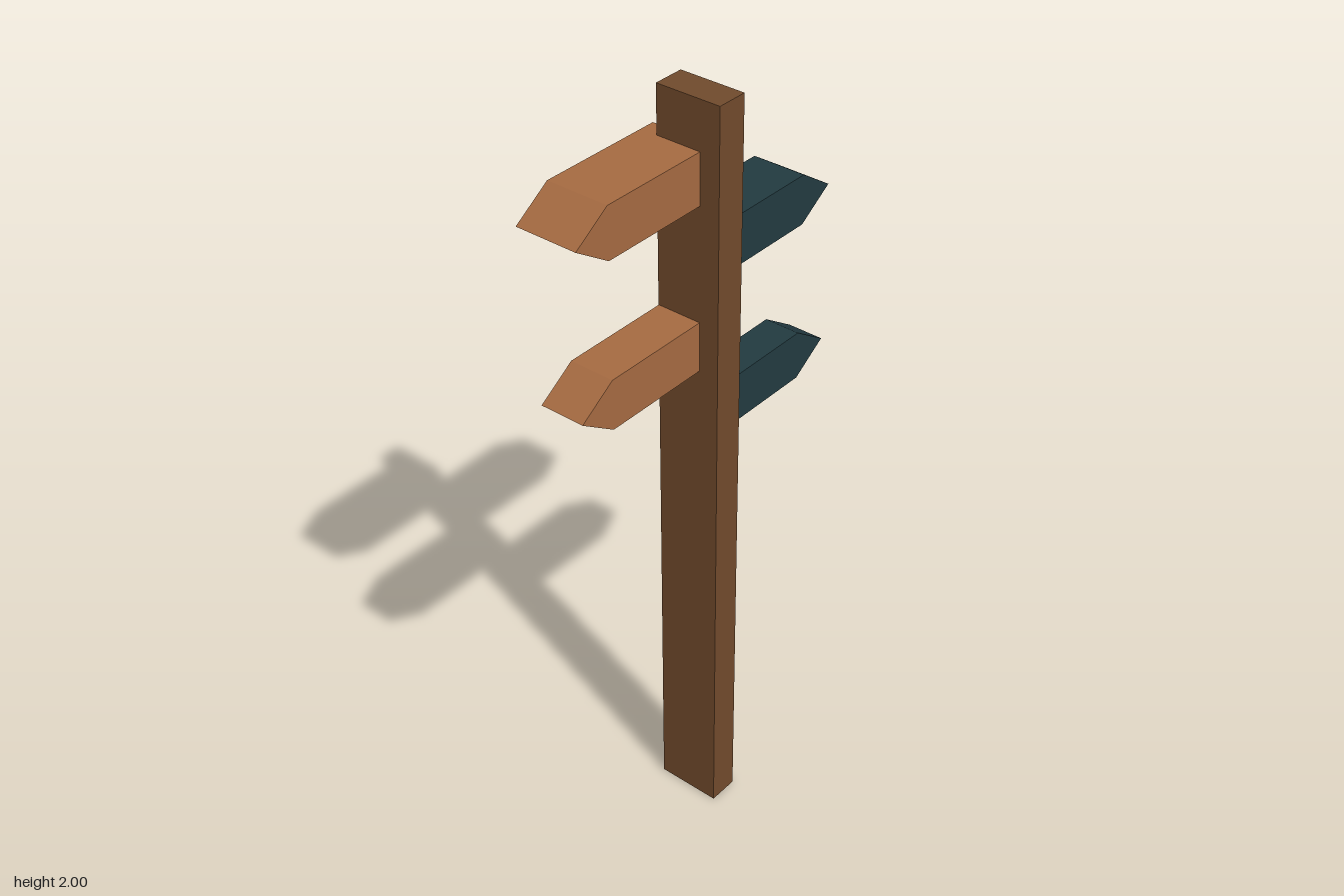
import * as THREE from 'three';

const mat = (name, color) => {
  const m = new THREE.MeshStandardMaterial({ color });
  m.name = name;
  return m;
};

// Arrow board: pointed outline extruded from zBack to zFront; dir is +1 (left) or -1 (right)
function arrowSign(name, material, dir, y, zBack, zFront) {
  const h = 0.064;
  const outline = [[0, -h], [0.33, -h], [0.427, 0], [0.33, h], [0, h]];
  const shape = new THREE.Shape(outline.map(([x, v]) => new THREE.Vector2(x * dir, v)));
  const geo = new THREE.ExtrudeGeometry(shape, { depth: zFront - zBack, bevelEnabled: false });
  const mesh = new THREE.Mesh(geo, material);
  mesh.name = name;
  mesh.position.set(0, y, zBack);
  return mesh;
}

export function createModel() {
  const group = new THREE.Group();
  group.name = 'signpost';
  const postWood = mat('dark wood', 0x704a2c);
  const signWood = mat('light wood', 0xa56a41);
  const paint = mat('dark teal paint', 0x223a40);

  // Upright post
  const post = new THREE.Mesh(new THREE.BoxGeometry(0.08, 2, 0.17), postWood);
  post.name = 'post';
  post.position.set(0, 1, 0.022);
  group.add(post);

  // Boards alternate sides, getting thinner towards the back as they go down
  group.add(
    arrowSign('topRightSign', signWood, -1, 1.816, -0.107, 0.055),
    arrowSign('topLeftSign', paint, 1, 1.608, -0.086, 0.055),
    arrowSign('lowerRightSign', signWood, -1, 1.397, -0.062, 0.055),
    arrowSign('lowerLeftSign', paint, 1, 1.185, -0.04, 0.055),
  );
  return group;
}
